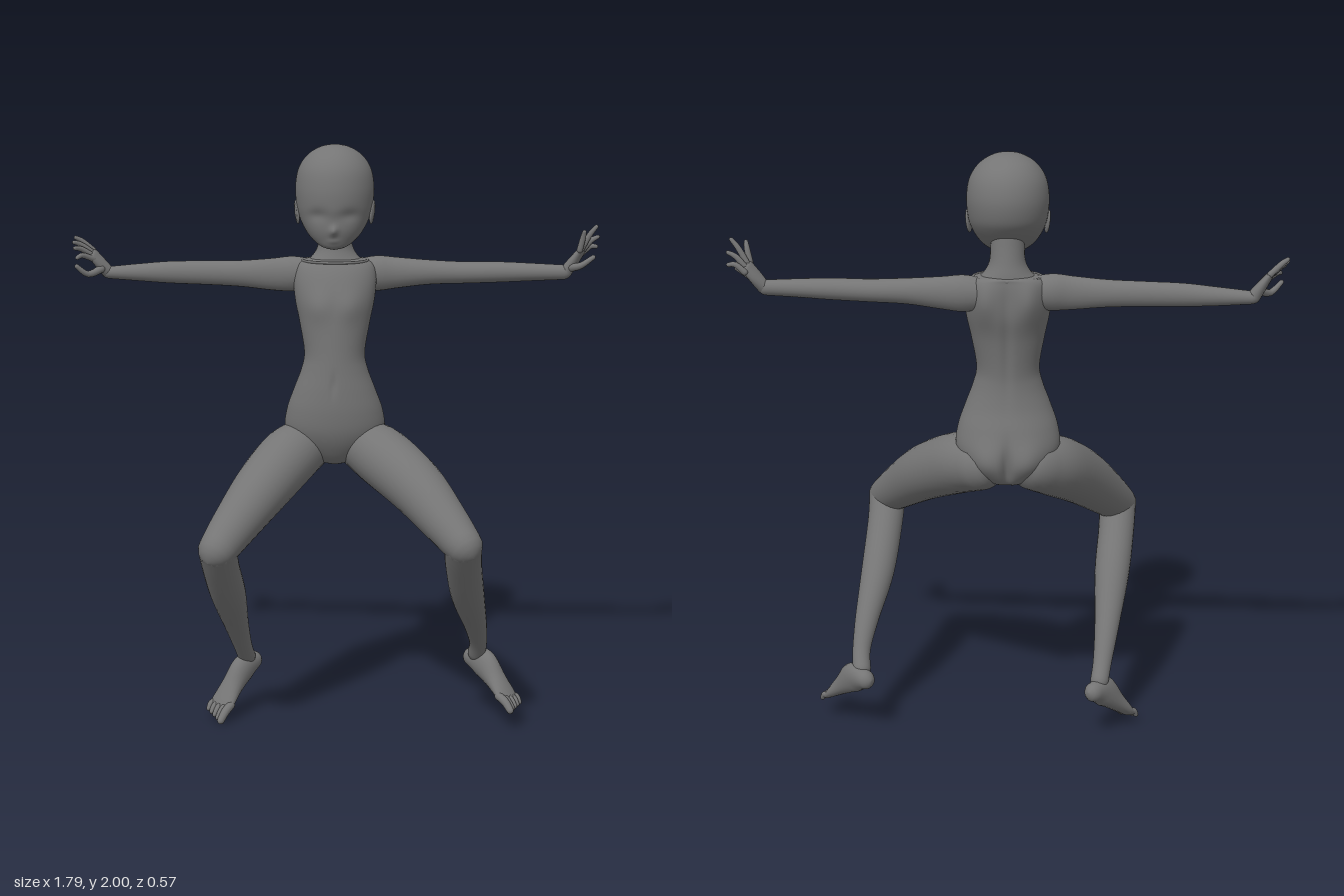
import * as THREE from 'three';

const material = new THREE.MeshStandardMaterial({ color: 0x757575 });
const V = (a) => new THREE.Vector3(a[0], a[1], a[2]);

// Smoothly resample rows of numbers (Catmull-Rom on every column)
function smooth(rows, steps) {
  const out = [], last = rows.length - 1;
  for (let i = 0; i < last; i++) {
    const [a, b, c, d] = [rows[Math.max(i - 1, 0)], rows[i], rows[i + 1], rows[Math.min(i + 2, last)]];
    for (let s = 0; s < steps; s++) {
      const t = s / steps;
      out.push(b.map((p, k) => {
        const cubic = 3 * (p - c[k]) + d[k] - a[k];
        const square = 2 * a[k] - 5 * p + 4 * c[k] - d[k];
        return p + 0.5 * t * (c[k] - a[k] + t * (square + t * cubic));
      }));
    }
  }
  out.push(rows[last]);
  return out;
}

// Skin a closed tube over elliptical rings { c, u, v }
function skin(name, rings, seg) {
  const pos = [], index = [];
  rings.forEach(({ c, u, v }, r) => {
    for (let i = 0; i < seg; i++) {
      const a = (i / seg) * Math.PI * 2;
      const p = c.clone().addScaledVector(u, Math.cos(a)).addScaledVector(v, Math.sin(a));
      pos.push(p.x, p.y, p.z);
      if (r === 0) continue;
      const j = (i + 1) % seg, lo = (r - 1) * seg, hi = r * seg;
      index.push(lo + i, lo + j, hi + j, lo + i, hi + j, hi + i);
    }
  });
  const g = new THREE.BufferGeometry();
  g.setAttribute('position', new THREE.Float32BufferAttribute(pos, 3));
  g.setIndex(index);
  g.computeVertexNormals();
  const mesh = new THREE.Mesh(g, material);
  mesh.name = name;
  return mesh;
}

// Body from horizontal slices, top to bottom: [y, halfWidth, zFront, zBack],
// with mirrored soft bumps [x, y, reachX, reachY, push], push > 0 for the front
function slices(name, rows, seg, bumps = []) {
  const mesh = skin(name, smooth(rows, 6).map(([y, w, f, b]) => ({
    c: new THREE.Vector3(0, y, (f + b) / 2),
    u: new THREE.Vector3(Math.max(w, 0.0005), 0, 0),
    v: new THREE.Vector3(0, 0, Math.max((f - b) / 2, 0.0005)),
  })), seg);
  const p = mesh.geometry.attributes.position;
  for (let i = 0; i < p.count; i++) {
    const front = Math.sin(((i % seg) / seg) * Math.PI * 2);
    let z = p.getZ(i);
    for (const [x, y, rx, ry, push, facing] of bumps) {
      const fall = Math.exp(-(((Math.abs(p.getX(i)) - x) / rx) ** 2) - ((p.getY(i) - y) / ry) ** 2);
      z += push * fall * Math.max(front * facing, 0);
    }
    p.setZ(i, z);
  }
  mesh.geometry.computeVertexNormals();
  return mesh;
}

// Limb with rounded ends along [x, y, z, radiusAlongSide, otherRadius]
function limb(name, rows, side, seg = 20, steps = 5) {
  const pts = smooth(rows.map((r) => [r[0], r[1], r[2], r[3], r[4] ?? r[3]]), steps);
  const n = pts.length - 1, rings = [];
  pts.forEach((p, i) => {
    const d = V(pts[Math.min(i + 1, n)]).sub(V(pts[Math.max(i - 1, 0)])).normalize();
    const u = V(side).addScaledVector(d, -V(side).dot(d)).normalize();
    const v = d.clone().cross(u);
    const add = (angle) => {
      const k = Math.max(Math.cos(angle), 0.002);
      rings.push({
        c: V(p).addScaledVector(d, Math.sin(angle) * Math.min(p[3], p[4])),
        u: u.clone().multiplyScalar(p[3] * k), v: v.clone().multiplyScalar(p[4] * k),
      });
    };
    if (i === 0) [-1.57, -1.2, -0.8, -0.4].forEach(add);
    add(0);
    if (i === n) [0.4, 0.8, 1.2, 1.57].forEach(add);
  });
  return skin(name, rings, seg);
}

// Palm, four bent fingers between two knuckle ends, and a thumb
function hand(name, wrist, k0, k1, tips, thumb, bend) {
  const g = new THREE.Group();
  g.name = name;
  const [w, a, b] = [V(wrist), V(k0), V(k1)];
  const mid = a.clone().lerp(b, 0.5), side = b.clone().sub(a).toArray();
  const half = w.clone().lerp(mid, 0.5);
  g.add(limb('palm', [[...wrist, 0.021, 0.022], [...half.toArray(), 0.03, 0.018],
    [...mid.toArray(), 0.034, 0.013]], side, 16));
  tips.forEach((tip, i) => {
    const start = a.clone().lerp(b, i / 3);
    const joint = start.clone().lerp(V(tip), 0.5).add(V(bend));
    g.add(limb('finger', [[...start.toArray(), 0.0105], [...joint.toArray(), 0.0095], [...tip, 0.007]], side, 10, 4));
  });
  g.add(limb('thumb', thumb.map((p, i) => [...p, [0.014, 0.011, 0.008][i]]), side, 10, 4));
  return g;
}

// Foot in its own frame: z to the toes, y up, little toe on the s side of x
function foot(name, heel, forward, across, s) {
  const g = new THREE.Group();
  g.name = name;
  const f = V(forward).normalize();
  const up = f.clone().cross(V(across)).normalize();
  g.setRotationFromMatrix(new THREE.Matrix4().makeBasis(up.clone().cross(f), up, f));
  g.position.fromArray(heel);
  g.add(limb('sole', [[0, 0.006, 0.014, 0.031, 0.034], [0, 0.022, 0.07, 0.036, 0.052],
    [s * 0.003, 0.008, 0.14, 0.04, 0.036], [s * 0.004, -0.006, 0.2, 0.048, 0.022],
    [s * 0.004, -0.013, 0.226, 0.047, 0.015]], [1, 0, 0]));
  for (let i = 0; i < 5; i++) {
    const x = s * (-0.032 + i * 0.018), r = i ? 0.0105 : 0.015, tip = 0.279 - i * 0.008;
    g.add(limb('toe', [[x, -0.01, 0.21, r], [x * 1.08, -0.006, (0.21 + tip) / 2, r],
      [x * 1.1, -0.015, tip, r * 0.85]], [1, 0, 0], 10, 3));
  }
  return g;
}

export function createModel() {
  const model = new THREE.Group();
  model.name = 'posedFigure';

  // Head with soft eye sockets, nose and lips
  model.add(slices('head', [[2, 0, -0.15, -0.15], [1.992, 0.045, -0.105, -0.195], [1.965, 0.09, -0.06, -0.245],
    [1.92, 0.121, -0.027, -0.277], [1.86, 0.132, -0.012, -0.29], [1.8, 0.128, -0.012, -0.28],
    [1.76, 0.118, -0.02, -0.255], [1.72, 0.098, -0.023, -0.215], [1.69, 0.074, -0.032, -0.165],
    [1.665, 0.039, -0.043, -0.11], [1.655, 0, -0.07, -0.075]], 64,
  [[0.055, 1.775, 0.03, 0.02, -0.009, 1], [0, 1.722, 0.011, 0.016, 0.016, 1], [0, 1.687, 0.02, 0.008, 0.004, 1]]));

  // Ears
  for (const s of [1, -1]) {
    const ear = new THREE.Group();
    ear.name = 'ear';
    const bowl = new THREE.Mesh(new THREE.SphereGeometry(1, 16, 12), material);
    bowl.name = 'earBowl';
    bowl.scale.set(0.008, 0.034, 0.018);
    const rim = new THREE.Mesh(new THREE.TorusGeometry(0.018, 0.005, 8, 24), material);
    rim.name = 'earRim';
    rim.rotation.y = Math.PI / 2;
    rim.scale.y = 1.75;
    ear.add(bowl, rim);
    ear.position.set(s * 0.126, 1.775, -0.132);
    ear.rotation.set(-0.2, s * -0.2, s * -0.12);
    model.add(ear);
  }

  // Neck
  model.add(slices('neck', [[1.77, 0.05, -0.14, -0.235], [1.71, 0.054, -0.135, -0.243],
    [1.66, 0.058, -0.138, -0.252], [1.625, 0.075, -0.13, -0.26], [1.59, 0.11, -0.115, -0.265]], 28));

  // Torso with chest, shoulder blades, spine groove, buttocks, cleft and navel
  model.add(slices('torso', [[1.622, 0, -0.19, -0.2], [1.615, 0.075, -0.13, -0.26], [1.598, 0.125, -0.108, -0.268],
    [1.55, 0.14, -0.082, -0.27], [1.48, 0.135, -0.06, -0.267], [1.4, 0.119, -0.052, -0.248],
    [1.3, 0.103, -0.046, -0.232], [1.24, 0.114, -0.042, -0.23], [1.17, 0.14, -0.037, -0.24],
    [1.1, 0.164, -0.036, -0.26], [1.03, 0.17, -0.045, -0.272], [0.97, 0.135, -0.07, -0.268],
    [0.92, 0.07, -0.11, -0.24], [0.9, 0, -0.17, -0.18]], 80,
  [[0.06, 1.46, 0.045, 0.05, 0.01, 1], [0.08, 1.54, 0.045, 0.07, -0.024, -1], [0, 1.4, 0.016, 0.17, 0.008, -1],
    [0.075, 0.995, 0.055, 0.065, -0.022, -1], [0, 0.98, 0.014, 0.07, 0.02, -1], [0, 1.2, 0.008, 0.035, -0.006, 1]]));

  // Collar seam
  const collar = new THREE.Mesh(new THREE.TorusGeometry(0.11, 0.005, 8, 40), material);
  collar.name = 'collarSeam';
  collar.rotation.x = Math.PI / 2;
  collar.scale.y = 0.7;
  collar.position.set(0, 1.606, -0.187);
  model.add(collar);

  // Arms
  model.add(limb('leftArm', [[0.07, 1.555, -0.21, 0.045, 0.05], [0.14, 1.558, -0.218, 0.046, 0.06],
    [0.21, 1.56, -0.22, 0.04, 0.053], [0.32, 1.563, -0.213, 0.038, 0.042], [0.44, 1.563, -0.208, 0.037],
    [0.56, 1.566, -0.203, 0.035], [0.67, 1.567, -0.198, 0.031, 0.03], [0.775, 1.567, -0.195, 0.023, 0.025]], [0, 0, 1]));
  model.add(limb('rightArm', [[-0.07, 1.555, -0.2, 0.045, 0.05], [-0.14, 1.558, -0.195, 0.046, 0.06],
    [-0.21, 1.556, -0.195, 0.036, 0.055], [-0.32, 1.557, -0.203, 0.034, 0.045], [-0.44, 1.558, -0.212, 0.032, 0.041],
    [-0.56, 1.558, -0.221, 0.032, 0.038], [-0.67, 1.556, -0.23, 0.029, 0.03], [-0.775, 1.554, -0.235, 0.023, 0.021]], [0, 0, 1]));

  // Hands
  model.add(hand('leftHand', [0.78, 1.567, -0.195], [0.825, 1.645, -0.175], [0.835, 1.625, -0.23],
    [[0.838, 1.708, -0.16], [0.88, 1.722, -0.19], [0.888, 1.685, -0.215], [0.885, 1.65, -0.235]],
    [[0.8, 1.585, -0.18], [0.83, 1.595, -0.16], [0.87, 1.622, -0.165]], [0.003, 0.012, 0]));
  model.add(hand('rightHand', [-0.78, 1.556, -0.235], [-0.825, 1.605, -0.2], [-0.83, 1.63, -0.24],
    [[-0.872, 1.615, -0.15], [-0.882, 1.645, -0.17], [-0.888, 1.662, -0.195], [-0.886, 1.675, -0.22]],
    [[-0.8, 1.57, -0.21], [-0.84, 1.556, -0.175], [-0.875, 1.585, -0.155]], [-0.008, 0.01, 0]));

  // Legs
  const side = [1, 0, 0];
  model.add(limb('leftThigh', [[0.095, 0.97, -0.175, 0.09], [0.165, 0.945, -0.09, 0.103], [0.28, 0.87, 0.035, 0.096],
    [0.38, 0.775, 0.155, 0.077], [0.434, 0.72, 0.221, 0.064]], side, 28));
  model.add(limb('leftShin', [[0.434, 0.72, 0.221, 0.063], [0.438, 0.64, 0.158, 0.061], [0.457, 0.5, 0.045, 0.057],
    [0.487, 0.37, -0.06, 0.041], [0.502, 0.28, -0.125, 0.031], [0.499, 0.225, -0.165, 0.031]], side, 24));
  model.add(limb('rightThigh', [[-0.095, 0.97, -0.175, 0.09], [-0.155, 0.94, -0.1, 0.103], [-0.24, 0.86, 0.03, 0.096],
    [-0.33, 0.755, 0.155, 0.077], [-0.375, 0.698, 0.219, 0.065]], side, 28));
  model.add(limb('rightShin', [[-0.375, 0.698, 0.219, 0.064], [-0.37, 0.62, 0.16, 0.062], [-0.355, 0.5, 0.06, 0.06],
    [-0.337, 0.35, -0.065, 0.042], [-0.322, 0.25, -0.14, 0.032], [-0.312, 0.198, -0.182, 0.031]], side, 24));

  // Feet
  model.add(foot('leftFoot', [0.473, 0.2, -0.208], [0.175, -0.125, 0.195], [0.055, 0, -0.1], 1));
  model.add(foot('rightFoot', [-0.283, 0.174, -0.229], [-0.145, -0.15, 0.19], [0.045, -0.025, 0.075], -1));
  return model;
}
